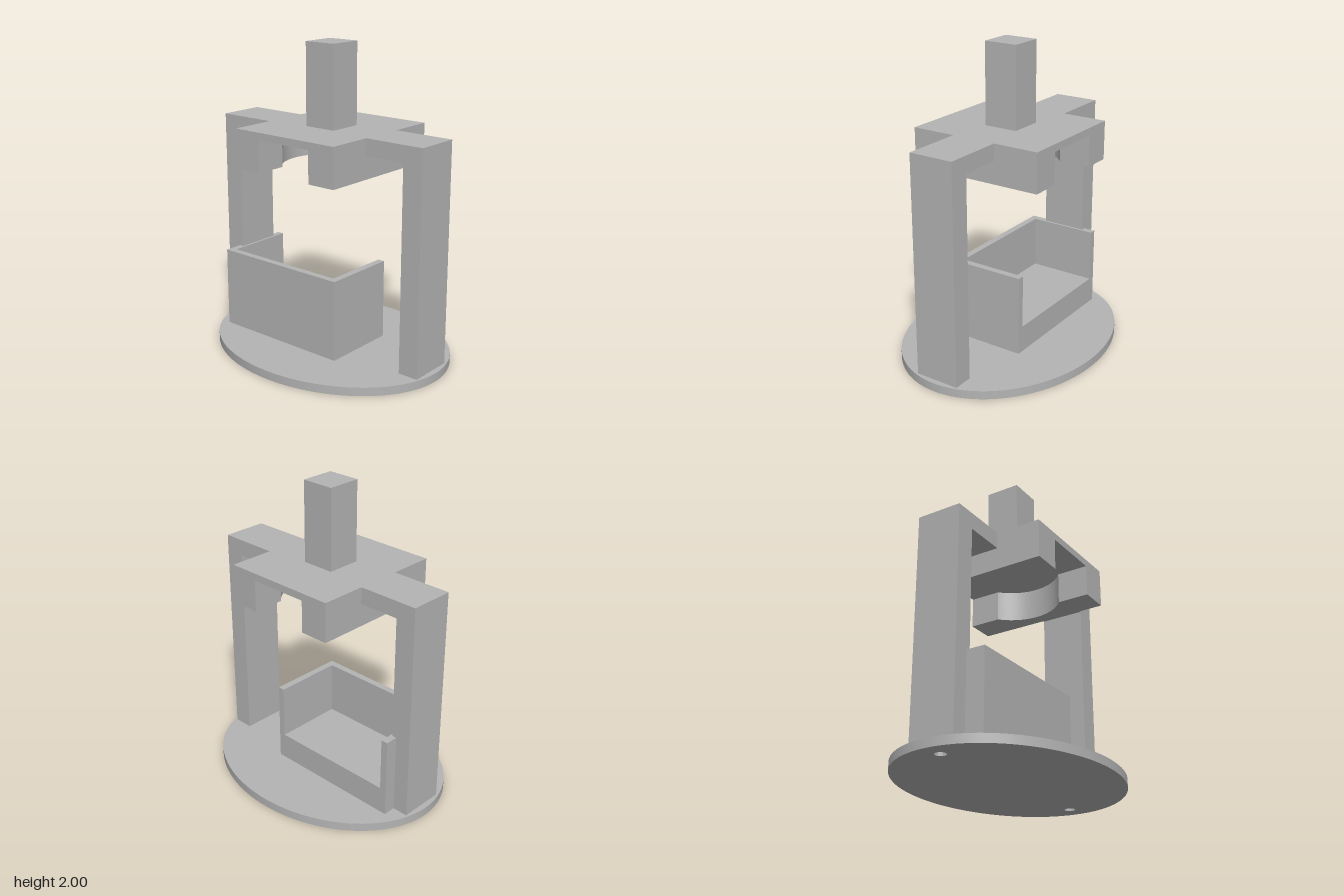
import * as THREE from 'three';
import { toCreasedNormals } from 'three/addons/utils/BufferGeometryUtils.js';

export function createModel() {
  const model = new THREE.Group();
  model.name = 'pressStand';
  const grey = new THREE.MeshStandardMaterial({ color: 0xb4b4b4 });
  grey.name = 'plain grey';

  const add = (name, geometry) => {
    const mesh = new THREE.Mesh(geometry, grey);
    mesh.name = name;
    model.add(mesh);
    return mesh;
  };

  // Box given by its limits on each axis
  const block = (name, [x0, x1], [y0, y1], [z0, z1]) =>
    add(name, new THREE.BoxGeometry(x1 - x0, y1 - y0, z1 - z0)
      .translate((x0 + x1) / 2, (y0 + y1) / 2, (z0 + z1) / 2));

  // Plan outline raised from y0 to y1
  const raise = (shape, y0, y1) => toCreasedNormals(
    new THREE.ExtrudeGeometry(shape, { depth: y1 - y0, bevelEnabled: false, curveSegments: 48 })
      .rotateX(-Math.PI / 2).translate(0, y0, 0), 0.6);

  const baseTop = 0.055, plateTop = 1.477, plateBottom = 1.43, jawBottom = 1.225;

  // Oval base with a screw hole under each post
  const oval = new THREE.Shape().absellipse(0, 0, 0.83, 0.643, 0, Math.PI * 2, false, 0);
  for (const x of [-0.7, 0.7]) {
    oval.holes.push(new THREE.Path().absarc(x, 0, 0.036, 0, Math.PI * 2, true));
  }
  add('base', raise(oval, 0, baseTop));

  // Post and arm in one bent piece
  const bracket = new THREE.Shape([
    [0.39, 1.37], [0.66, 1.37], [0.66, baseTop], [0.793, baseTop],
    [0.793, plateTop], [0.39, plateTop],
  ].map(([x, y]) => new THREE.Vector2(x, y)));
  const bracketGeometry = new THREE.ExtrudeGeometry(bracket, { depth: 0.296, bevelEnabled: false })
    .translate(0, 0, -0.148);

  // Jaw with a round pocket cut into its inner face
  const pocket = 0.31, angle = Math.acos(0.2 / pocket);
  const jaw = new THREE.Shape();
  jaw.moveTo(0.2, -0.445);
  jaw.lineTo(0.39, -0.445);
  jaw.lineTo(0.39, 0.445);
  jaw.lineTo(0.2, 0.445);
  jaw.absarc(0, 0, pocket, angle, -angle, true);
  jaw.closePath();
  const jawGeometry = raise(jaw, jawBottom, plateBottom);

  for (const [side, turn] of [['left', 0], ['right', Math.PI]]) {
    add(side + 'PostAndArm', bracketGeometry).rotation.y = turn;
    add(side + 'Jaw', jawGeometry).rotation.y = turn;
  }

  // Head plate and the square shank on top
  block('headPlate', [-0.39, 0.39], [plateBottom, plateTop], [-0.445, 0.445]);
  block('shank', [-0.11, 0.11], [plateTop, 2], [-0.112, 0.112]);

  // Tray open at the top and the back
  const trayTop = 0.58, wall = 0.045;
  block('trayFloor', [-0.69 + wall, 0.25 - wall], [baseTop, 0.23], [-0.23, 0.27 - wall]);
  block('trayFrontWall', [-0.69, 0.25], [baseTop, trayTop], [0.27 - wall, 0.27]);
  block('trayRightWall', [-0.69, -0.69 + wall], [baseTop, trayTop], [-0.23, 0.27 - wall]);
  block('trayLeftWall', [0.25 - wall, 0.25], [baseTop, trayTop], [-0.23, 0.27 - wall]);

  return model;
}
